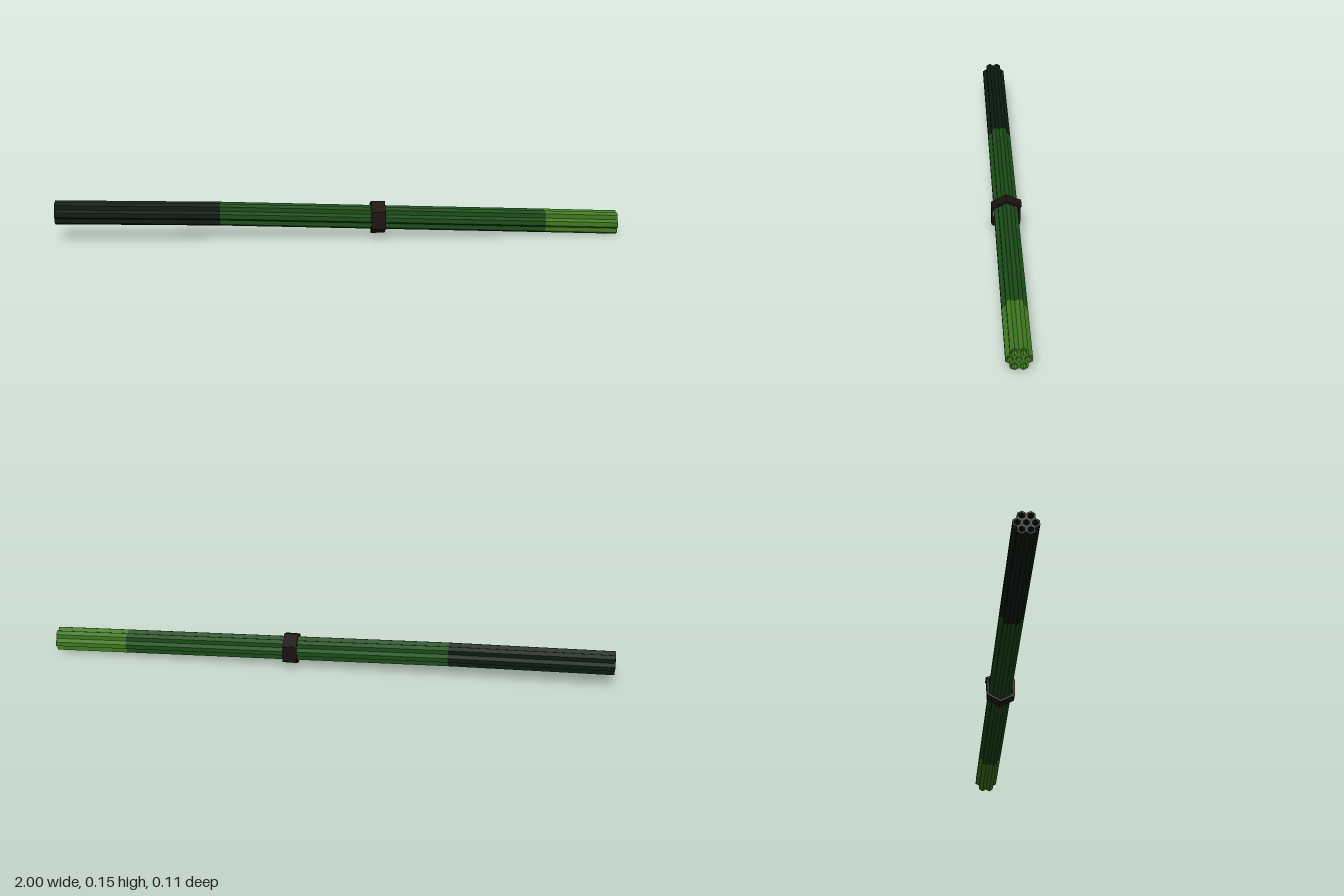
import * as THREE from 'three';

const R = 0.0163;        // stalk radius
const PITCH = 0.0275;    // distance between neighbouring stalks
const ROW = 0.0237;      // distance between rows

// Bend of the bundle: x, centre height
const BEND = [[-1, 0.1065], [-0.42, 0.093], [0.74, 0.0505], [1, 0.0405]];
const SECTIONS = [
  { name: 'darkEnd', color: 0x0a1c0f },
  { name: 'middle', color: 0x1b4d18 },
  { name: 'lightTip', color: 0x3f7a20 },
];

function material(color) {
  return new THREE.MeshStandardMaterial({ color, flatShading: true, side: THREE.DoubleSide });
}

// One hexagonal length of stalk along x, sheared to follow the bend
function stalkSection(i) {
  const [x0, y0] = BEND[i], [x1, y1] = BEND[i + 1];
  const profile = [[R, x0], [R, x1]];
  // Hollowed, rimmed ends on the outermost sections
  if (i === 0) profile.unshift([0, x0 + 0.02], [R * 0.65, x0]);
  if (i === 2) profile.push([R * 0.65, x1], [0, x1 - 0.02]);
  const geo = new THREE.LatheGeometry(profile.map(([r, x]) => new THREE.Vector2(r, x)), 6);
  geo.rotateY(Math.PI / 6).rotateZ(-Math.PI / 2);
  const p = geo.attributes.position;
  for (let k = 0; k < p.count; k++) {
    const t = (p.getX(k) - x0) / (x1 - x0);
    p.setY(k, p.getY(k) + y0 + (y1 - y0) * t);
  }
  geo.computeVertexNormals();
  return geo;
}

// Strap wound once around the bundle, its free end overlapping at the upper back
function strap() {
  const cy = 0.073;
  const path = [[-0.046, 0.102], [-0.045, 0.043], [0, 0.018], [0.048, 0.043],
    [0.048, 0.101], [0, 0.127], [-0.05, 0.106]];
  const offset = (s) => path.map(([z, y]) => new THREE.Vector2(z * s, cy + (y - cy) * s));
  const shape = new THREE.Shape([...offset(1.08), ...offset(0.92).reverse()]);
  const geo = new THREE.ExtrudeGeometry(shape, { depth: 0.05, bevelEnabled: false });
  geo.rotateY(-Math.PI / 2);
  const mesh = new THREE.Mesh(geo, material(0x1c120e));
  mesh.position.x = 0.165;
  mesh.name = 'strap';
  return mesh;
}

export function createModel() {
  const model = new THREE.Group();
  model.name = 'stalkBundle';

  // Seven stalks packed two, three, two
  const places = [];
  [2, 3, 2].forEach((n, row) => {
    for (let k = 0; k < n; k++) places.push([(row - 1) * ROW, (k - (n - 1) / 2) * PITCH]);
  });

  SECTIONS.forEach(({ name, color }, i) => {
    const group = new THREE.Group();
    group.name = name;
    const geo = stalkSection(i), mat = material(color);
    places.forEach(([y, z], k) => {
      const stalk = new THREE.Mesh(geo, mat);
      stalk.position.set(0, y, z);
      stalk.name = `${name}Stalk${k + 1}`;
      group.add(stalk);
    });
    model.add(group);
  });

  model.add(strap());
  return model;
}
